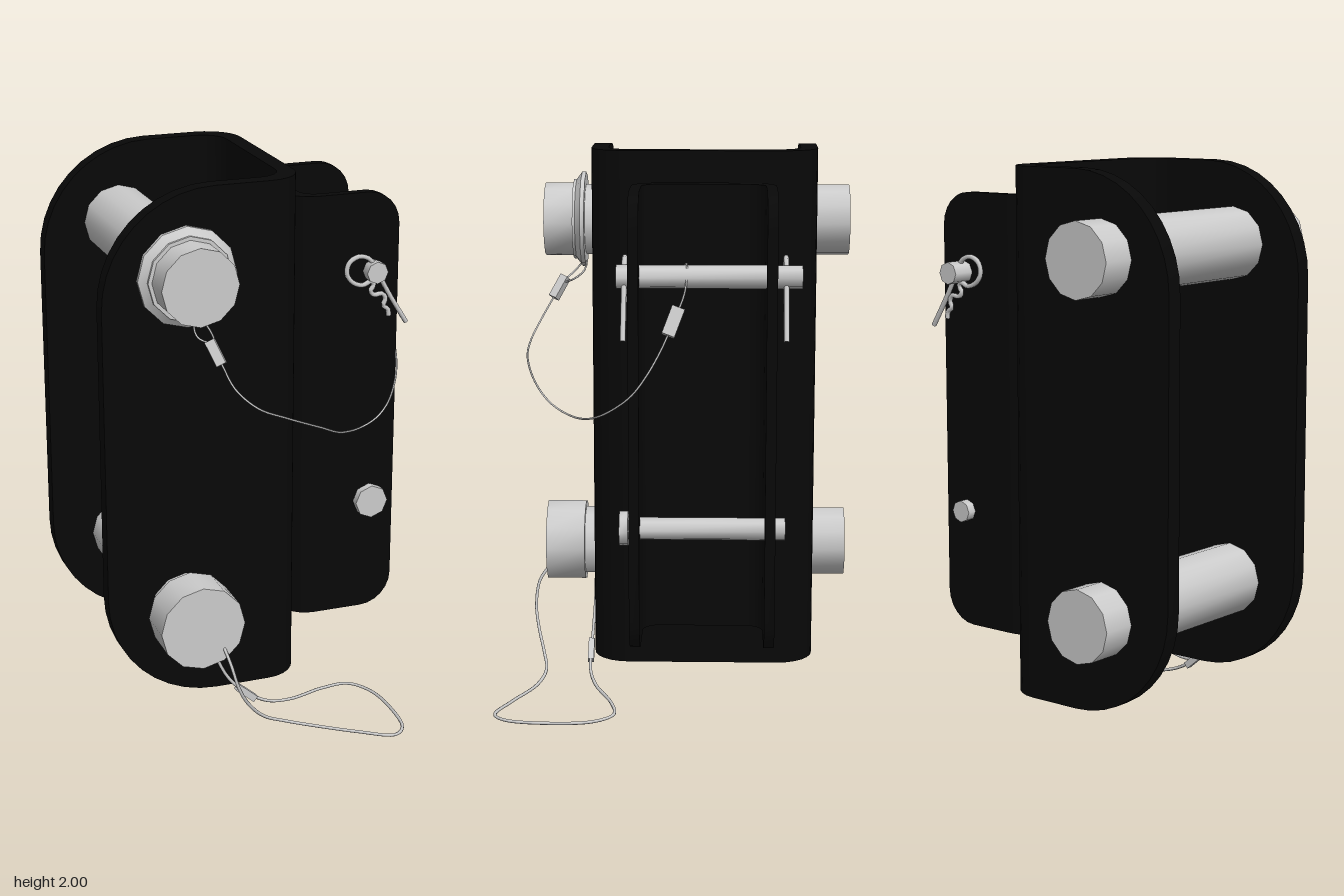
import * as THREE from 'three';
import { toCreasedNormals } from 'three/addons/utils/BufferGeometryUtils.js';

const black = new THREE.MeshStandardMaterial({ color: 0x080808 });
const grey = new THREE.MeshStandardMaterial({ color: 0xcccccc });
const V = (a) => a.map((p) => new THREE.Vector3(...p));

function add(parent, name, geometry, material = grey) {
  const mesh = new THREE.Mesh(geometry, material);
  mesh.name = name;
  parent.add(mesh);
  return mesh;
}

// U-shaped channel: web at local x = 0, open towards +x, centred on z = 0
function channel(name, { width, depth, flange, web, height, outer, inner, corner, segments }) {
  const group = new THREE.Group();
  group.name = name;
  const h = depth / 2, hi = h - flange;
  const b = Math.max(outer, web + inner);
  const { PI } = Math;

  // Web with its two bends, extruded upwards
  const s = new THREE.Shape();
  s.moveTo(b, -h);
  s.lineTo(b, -hi);
  s.lineTo(web + inner, -hi);
  s.absarc(web + inner, -hi + inner, inner, -PI / 2, -PI, true);
  s.absarc(web + inner, hi - inner, inner, PI, PI / 2, true);
  s.lineTo(b, hi);
  s.lineTo(b, h);
  s.lineTo(outer, h);
  s.absarc(outer, h - outer, outer, PI / 2, PI, false);
  s.absarc(outer, -h + outer, outer, PI, PI * 1.5, false);
  const webGeo = new THREE.ExtrudeGeometry(s, { depth: height, bevelEnabled: false, curveSegments: 3 });
  add(group, 'web', toCreasedNormals(webGeo.rotateX(-PI / 2), 0.6), black);

  // Side plates with rounded free corners
  const p = new THREE.Shape();
  p.moveTo(b, 0);
  p.lineTo(width - corner, 0);
  p.absarc(width - corner, corner, corner, -PI / 2, 0, false);
  p.absarc(width - corner, height - corner, corner, 0, PI / 2, false);
  p.lineTo(b, height);
  for (const z of [-h, hi]) {
    const geo = new THREE.ExtrudeGeometry(p, { depth: flange, bevelEnabled: false, curveSegments: segments });
    add(group, 'sidePlate', toCreasedNormals(geo.translate(0, 0, z), 0.6), black);
  }
  return group;
}

// Turned part along z from [radius, z] pairs
function turned(parent, name, profile, x, y, sides) {
  const geo = new THREE.LatheGeometry(profile.map(([r, z]) => new THREE.Vector2(r, z)), sides);
  geo.rotateX(Math.PI / 2);
  add(parent, name, toCreasedNormals(geo, sides < 10 ? 0.85 : 0.6)).position.set(x, y, 0);
}

function wire(parent, name, points, radius, segments) {
  const curve = new THREE.CatmullRomCurve3(V(points), false, 'centripetal');
  return add(parent, name, new THREE.TubeGeometry(curve, segments, radius, 6));
}

// Small crimp block lying along a cable direction
function crimp(parent, at, direction, size) {
  const mesh = add(parent, 'cableCrimp', new THREE.BoxGeometry(...size));
  mesh.position.set(...at);
  mesh.quaternion.setFromUnitVectors(new THREE.Vector3(0, 1, 0), new THREE.Vector3(...direction).normalize());
}

export function createModel() {
  const model = new THREE.Group();
  model.name = 'hitchBracket';

  // Large channel opens towards -x, small channel towards +x
  const large = channel('largeChannel', {
    width: 0.73, depth: 0.8, flange: 0.06, web: 0.06, height: 1.86,
    outer: 0.13, inner: 0.09, corner: 0.4, segments: 5,
  });
  large.rotation.y = Math.PI;
  large.position.set(0.14, 0.14, -0.11);
  const small = channel('smallChannel', {
    width: 0.405, depth: 0.5, flange: 0.036, web: 0.055, height: 1.59,
    outer: 0.1, inner: 0.06, corner: 0.12, segments: 3,
  });
  small.position.set(0.146, 0.3, -0.11);
  model.add(large, small);

  // Large hitch pins
  turned(model, 'upperPin', [
    [0, -0.64], [0.13, -0.64], [0.13, 0.33], [0.175, 0.33], [0.175, 0.345],
    [0.148, 0.365], [0.148, 0.375], [0.135, 0.375], [0.135, 0.48], [0, 0.48],
  ], -0.305, 1.71, 12);
  turned(model, 'lowerPin', [
    [0, -0.64], [0.13, -0.64], [0.13, 0.34], [0.153, 0.34], [0.153, 0.485], [0, 0.485],
  ], -0.305, 0.48, 12);

  // Small cross pins
  turned(model, 'upperCrossPin', [[0, -0.445], [0.04, -0.445], [0.04, 0.182], [0, 0.182]], 0.455, 1.605, 8);
  turned(model, 'lowerCrossBolt', [
    [0, -0.395], [0.04, -0.395], [0.04, 0.145], [0.062, 0.145], [0.062, 0.175], [0, 0.175],
  ], 0.455, 0.73, 8);

  // Spring clips through both ends of the upper cross pin
  const clipPath = [
    [0.58, 1.405], [0.515, 1.51], [0.465, 1.6], [0.435, 1.65], [0.395, 1.664], [0.357, 1.645],
    [0.348, 1.605], [0.37, 1.572], [0.41, 1.558], [0.442, 1.57], [0.452, 1.555], [0.44, 1.535],
    [0.452, 1.518], [0.485, 1.52], [0.498, 1.5], [0.49, 1.475], [0.508, 1.46], [0.512, 1.435],
  ];
  for (const z of [0.155, -0.39]) {
    wire(model, 'springClip', clipPath.map(([x, y]) => [x, y, z]), 0.009, 64);
  }

  // Thin tether from the upper pin to the cross pin
  wire(model, 'upperTether', [
    [-0.24, 1.48, 0.42], [-0.22, 1.42, 0.455], [-0.19, 1.35, 0.495], [-0.12, 1.285, 0.527],
    [-0.02, 1.24, 0.53], [0.12, 1.175, 0.49], [0.22, 1.123, 0.43], [0.34, 1.1, 0.345],
    [0.43, 1.11, 0.28], [0.5, 1.145, 0.215], [0.56, 1.215, 0.13], [0.576, 1.29, 0.075],
    [0.565, 1.38, 0.025], [0.54, 1.46, -0.01], [0.505, 1.56, -0.05], [0.46, 1.65, -0.055],
    [0.41, 1.61, -0.035],
  ], 0.0035, 100);
  wire(model, 'tetherEye', [
    [-0.24, 1.49, 0.415], [-0.285, 1.51, 0.385], [-0.285, 1.55, 0.345], [-0.26, 1.56, 0.33],
    [-0.235, 1.53, 0.335], [-0.225, 1.5, 0.37], [-0.24, 1.48, 0.42],
  ], 0.0035, 30);
  crimp(model, [-0.237, 1.465, 0.428], [0.03, -0.08, 0.045], [0.03, 0.09, 0.035]);
  crimp(model, [0.535, 1.465, -0.012], [-0.03, 0.09, -0.035], [0.04, 0.1, 0.045]);

  // Looped tether hanging from the lower pin
  wire(model, 'lowerTether', [
    [-0.23, 0.4, 0.475], [-0.215, 0.34, 0.515], [-0.19, 0.25, 0.527], [-0.15, 0.175, 0.515],
    [-0.08, 0.1, 0.49], [0, 0.06, 0.475], [0.1, 0.035, 0.5], [0.25, 0.022, 0.58],
    [0.365, 0.014, 0.63], [0.415, 0.012, 0.59], [0.438, 0.01, 0.45], [0.42, 0.01, 0.28],
    [0.36, 0.014, 0.207], [0.25, 0.02, 0.22], [0.1, 0.035, 0.285], [0, 0.058, 0.31],
    [-0.08, 0.105, 0.312], [-0.15, 0.175, 0.308], [-0.2, 0.28, 0.302], [-0.23, 0.4, 0.3],
  ], 0.006, 120);
  crimp(model, [-0.085, 0.108, 0.312], [-0.07, 0.06, 0], [0.025, 0.09, 0.022]);

  return model;
}
